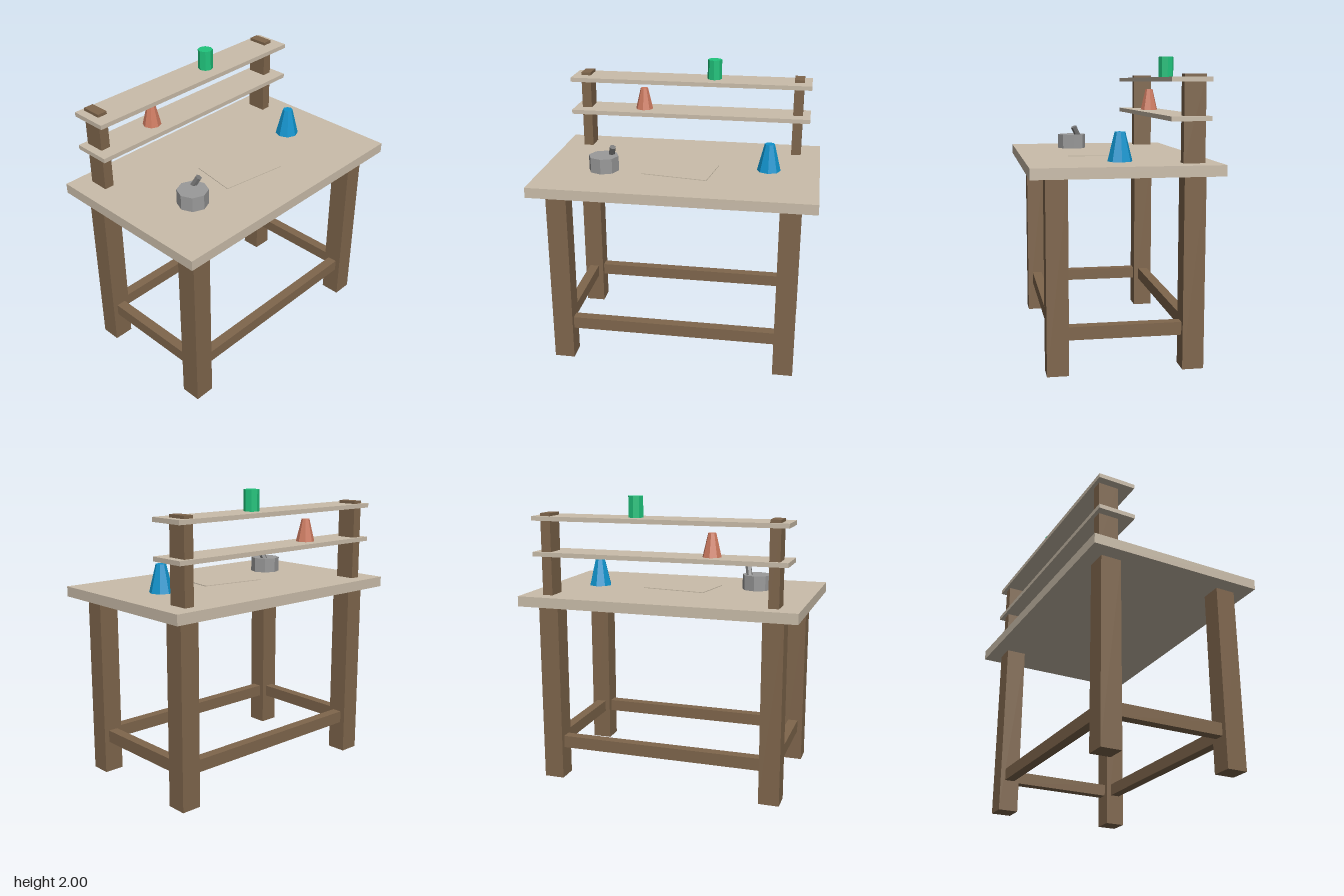
import * as THREE from 'three';

const mat = (name, color) => new THREE.MeshStandardMaterial({ name, color, flatShading: true });

export function createModel() {
  const group = new THREE.Group();
  group.name = 'workbench';

  const paleWood = mat('paleWood', 0xcabdaa);
  const darkWood = mat('darkWood', 0x7f664c);
  const blue = mat('blue', 0x0f93cc);
  const green = mat('green', 0x20c47c);
  const coral = mat('coral', 0xcc7a60);
  const grey = mat('grey', 0x9a9a9a);
  const darkGrey = mat('darkGrey', 0x777777);

  const add = (name, geometry, material, x, y, z) => {
    const mesh = new THREE.Mesh(geometry, material);
    mesh.name = name;
    mesh.position.set(x, y, z);
    group.add(mesh);
    return mesh;
  };
  // Box standing on height y0
  const box = (name, w, h, d, material, x, y0, z) =>
    add(name, new THREE.BoxGeometry(w, h, d), material, x, y0 + h / 2, z);
  // Eight-sided cup or cone standing on height y0
  const cup = (name, rTop, rBottom, h, material, x, y0, z) =>
    add(name, new THREE.CylinderGeometry(rTop, rBottom, h, 8), material, x, y0 + h / 2, z);

  const legX = 0.78, legZ = 0.435, legSize = 0.14;
  const deskY = 1.255, surfaceY = 1.325;

  // Table top and the sheet lying on it
  box('tableTop', 1.91, surfaceY - deskY, 1.21, paleWood, 0, deskY, 0);
  box('sheet', 0.465, 0.005, 0.33, paleWood, 0, surfaceY, 0.09).rotation.y = -0.15;

  // Legs, rails between them and shelf posts
  for (const s of [-1, 1]) {
    for (const t of [-1, 1]) box('leg', legSize, deskY, legSize, darkWood, s * legX, 0, t * legZ);
    box('longRail', 2 * legX - legSize, 0.085, 0.07, darkWood, 0, 0.22, s * legZ);
    box('sideRail', 0.07, 0.085, 2 * legZ - legSize, darkWood, s * legX, 0.22, 0);
    box('shelfPost', 0.07, 0.555, legSize, darkWood, s * legX, surfaceY, -legZ);
  }

  // Shelves
  for (const y of [1.59, 1.83]) box('shelf', 1.74, 0.03, 0.26, paleWood, 0, y, -0.4);

  // Objects on the shelves and the table
  cup('greenJar', 0.052, 0.052, 0.14, green, 0.17, 1.86, -0.403);
  cup('coralCone', 0.027, 0.064, 0.155, coral, -0.35, 1.62, -0.4);
  cup('blueCone', 0.035, 0.082, 0.19, blue, 0.605, surfaceY, 0);
  cup('mortar', 0.105, 0.105, 0.105, grey, -0.525, surfaceY, 0.17);

  // Leaning pestle, sunk into the mortar
  const low = new THREE.Vector3(-0.487, 1.39, 0.113);
  const high = new THREE.Vector3(-0.461, 1.49, 0.163);
  const axis = high.clone().sub(low);
  const pestle = add('pestle', new THREE.CylinderGeometry(0.022, 0.022, axis.length(), 6), darkGrey,
    (low.x + high.x) / 2, (low.y + high.y) / 2, (low.z + high.z) / 2);
  pestle.quaternion.setFromUnitVectors(new THREE.Vector3(0, 1, 0), axis.normalize());

  return group;
}
